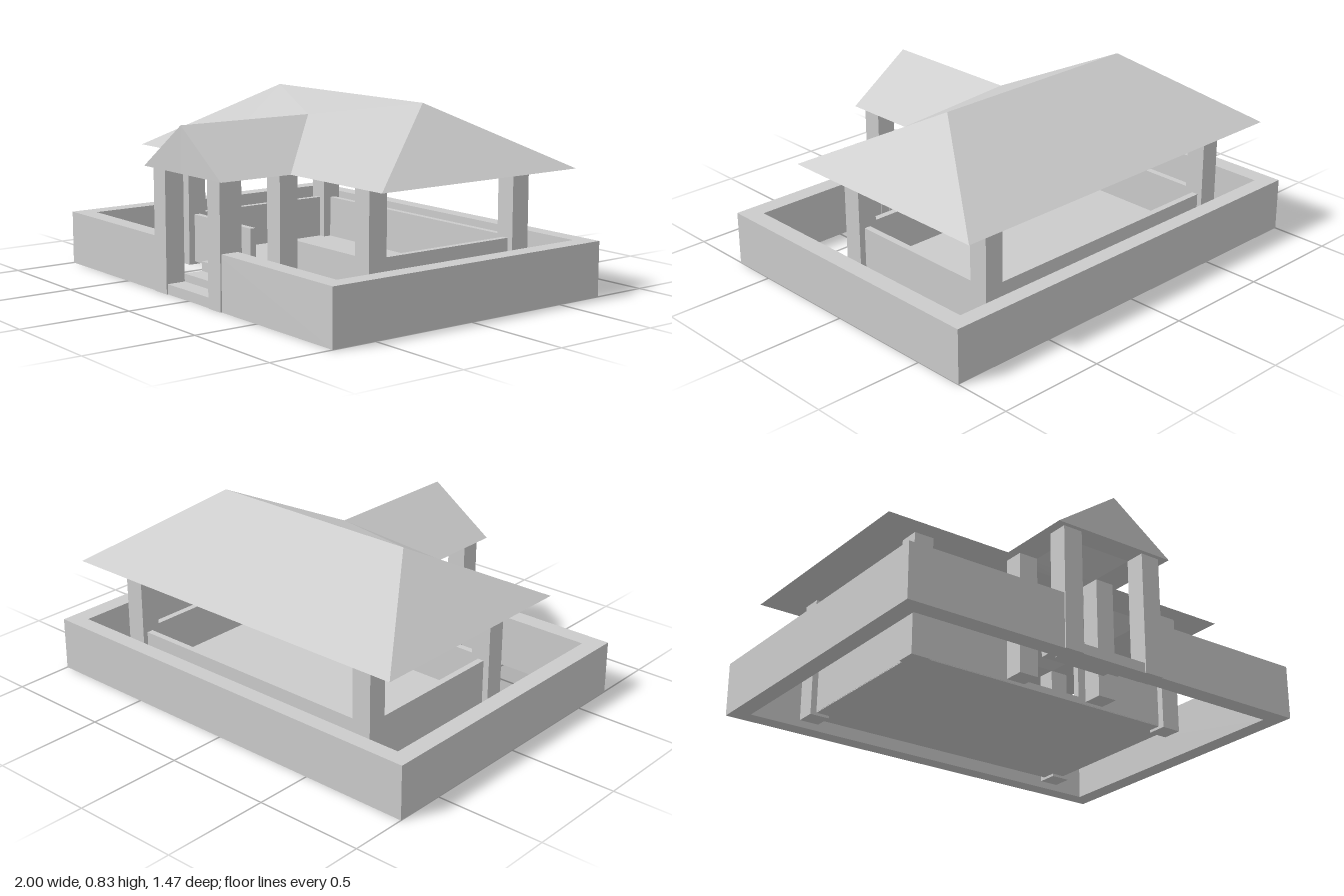
import * as THREE from 'three';

const material = new THREE.MeshStandardMaterial({ color: 0xcccccc, flatShading: true });
const thinMaterial = new THREE.MeshStandardMaterial({ color: 0xcccccc, flatShading: true, side: THREE.DoubleSide });

function box(name, [x0, x1], [y0, y1], [z0, z1]) {
  const mesh = new THREE.Mesh(new THREE.BoxGeometry(x1 - x0, y1 - y0, z1 - z0), material);
  mesh.position.set((x0 + x1) / 2, (y0 + y1) / 2, (z0 + z1) / 2);
  mesh.name = name;
  return mesh;
}

const points = (list) => list.map(([x, y]) => new THREE.Vector2(x, y));

// Wall of constant height on a plan outline of [x, z] corners
function planWall(name, plan, bottom, top) {
  const shape = new THREE.Shape(points(plan.map(([x, z]) => [x, -z])));
  const geometry = new THREE.ExtrudeGeometry(shape, { depth: top - bottom, bevelEnabled: false });
  geometry.rotateX(-Math.PI / 2);
  const wall = new THREE.Mesh(geometry, material);
  wall.position.y = bottom;
  wall.name = name;
  return wall;
}

// Plan of a rectangular ring with a gap in the middle of its front
function openRing(x, xIn, back, backIn, front, frontIn, gap) {
  return [
    [gap, front], [x, front], [x, back], [-x, back], [-x, front], [-gap, front],
    [-gap, frontIn], [-xIn, frontIn], [-xIn, backIn], [xIn, backIn], [xIn, frontIn], [gap, frontIn],
  ];
}

// Hipped roof whose front slope folds into a gabled porch roof
function createRoof() {
  const eave = 0.55;
  const valleyTop = [0, 0.755, 0.07];
  const gableTop = [0, 0.755, 0.735];
  const positions = [];
  const face = (...corners) => {
    for (let i = 1; i < corners.length - 1; i++) positions.push(...corners[0], ...corners[i], ...corners[i + 1]);
  };
  const ridge = (s) => [s * 0.515, 0.835, -0.15];
  const backCorner = (s) => [s * 0.895, eave, -0.69];
  face(ridge(-1), valleyTop, ridge(1));
  face(ridge(1), backCorner(1), backCorner(-1), ridge(-1));
  for (const s of [1, -1]) {
    const sided = (...corners) => face(...(s > 0 ? corners : corners.reverse()));
    const frontCorner = [s * 0.895, eave, 0.385];
    const valleyFoot = [s * 0.297, eave, 0.385];
    const porchCorner = [s * 0.297, eave, 0.735];
    sided(ridge(s), frontCorner, backCorner(s));
    sided(ridge(s), valleyFoot, frontCorner);
    sided(ridge(s), valleyTop, valleyFoot);
    sided(valleyTop, gableTop, porchCorner, valleyFoot);
    sided(gableTop, [0, eave, 0.735], porchCorner);
  }
  const geometry = new THREE.BufferGeometry();
  geometry.setAttribute('position', new THREE.Float32BufferAttribute(positions, 3));
  geometry.computeVertexNormals();
  const shell = new THREE.Mesh(geometry, thinMaterial);
  shell.name = 'roofShell';

  // Underside of the eaves, open above the rooms
  const rect = (x, z0, z1) => new THREE.Path(points([[-x, z0], [-x, z1], [x, z1], [x, z0]]));
  const outline = new THREE.Shape(points([
    [-0.895, -0.69], [0.895, -0.69], [0.895, 0.385], [0.297, 0.385],
    [0.297, 0.735], [-0.297, 0.735], [-0.297, 0.385], [-0.895, 0.385],
  ]));
  outline.holes.push(rect(0.625, -0.495, 0.21), rect(0.163, 0.317, 0.625));
  const soffitGeometry = new THREE.ShapeGeometry(outline);
  soffitGeometry.rotateX(Math.PI / 2);
  const soffit = new THREE.Mesh(soffitGeometry, thinMaterial);
  soffit.position.y = eave;
  soffit.name = 'soffit';

  const roof = new THREE.Group();
  roof.name = 'roof';
  roof.add(shell, soffit);
  return roof;
}

export function createModel() {
  const model = new THREE.Group();
  model.name = 'pavilion';
  model.add(createRoof());

  // Yard wall, and the room's low parapet on a thin floor slab
  model.add(planWall('yardWall', openRing(1, 0.918, -0.735, -0.66, 0.708, 0.625, 0.2), 0, 0.245));
  model.add(planWall('parapet', openRing(0.685, 0.655, -0.565, -0.535, 0.27, 0.24, 0.165), 0.015, 0.238));
  model.add(box('floor', [-0.684, 0.684], [0.012, 0.042], [-0.564, 0.269]));

  // Entrance sill and the steps behind it
  model.add(box('sill', [-0.205, 0.205], [0, 0.045], [0.62, 0.708]));
  model.add(box('middleStep', [-0.165, 0.165], [0.045, 0.08], [0.53, 0.62]));
  model.add(box('upperStep', [-0.165, 0.165], [0.08, 0.123], [0.44, 0.53]));

  // Square posts in mirrored pairs: name, centre x, centre z
  const posts = [
    ['backPost', 0.668, -0.543], ['frontPost', 0.668, 0.255],
    ['innerPorchPost', 0.209, 0.365], ['outerPorchPost', 0.209, 0.668],
  ];
  const half = 0.046;
  for (const [name, px, z] of posts) {
    for (const s of [1, -1]) {
      const x = s * px;
      model.add(box(name, [x - half, x + half], [0, 0.55], [z - half, z + half]));
    }
  }
  return model;
}
